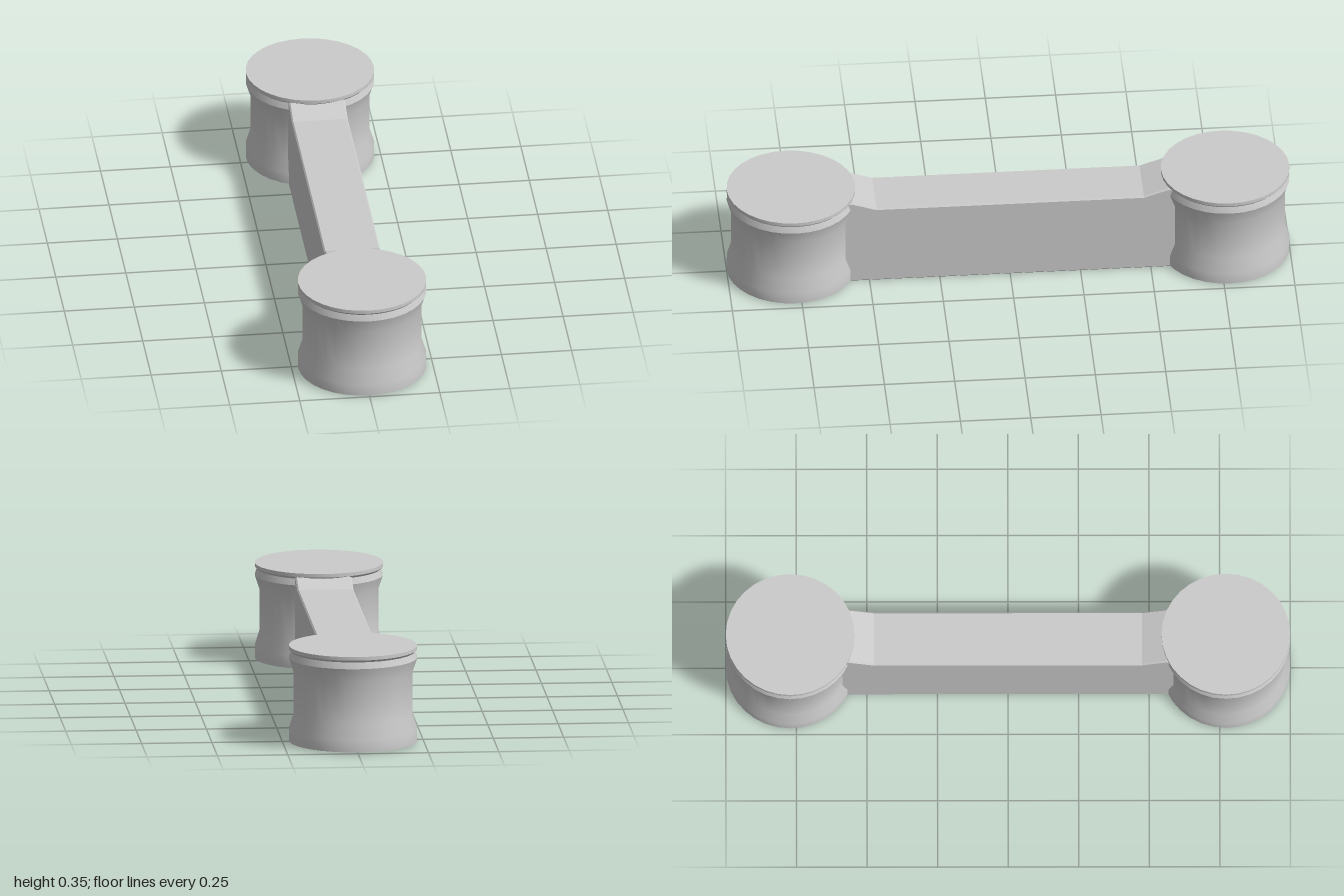
import * as THREE from 'three';
import { toCreasedNormals } from 'three/addons/utils/BufferGeometryUtils.js';

const v2 = (p) => new THREE.Vector2(p[0], p[1]);

export function createModel() {
  const model = new THREE.Group();
  const material = new THREE.MeshStandardMaterial({ color: 0xcccccc, side: THREE.DoubleSide });

  // Waisted round post: hollow, open at the bottom, closed by a flat lid with a lip
  const postProfile = [
    [0.228, 0.005], [0.228, 0.048], [0.212, 0.1], [0.212, 0.256],
    [0.228, 0.305], [0.22, 0.328], [0.228, 0.336], [0.228, 0.349], [0, 0.349],
  ].map(v2);
  const postGeometry = toCreasedNormals(new THREE.LatheGeometry(postProfile, 32), 0.5);
  for (const [name, z] of [['frontPost', 0.772], ['backPost', -0.772]]) {
    const post = new THREE.Mesh(postGeometry, material);
    post.name = name;
    post.position.z = z;
    model.add(post);
  }

  // Bar between the posts: side outline with ramped ends, extruded across x with a fine bevel
  const bevel = 0.005;
  const half = [[0.62, 0], [0.62, 0.335], [0.56, 0.335], [0.475, 0.307]];
  const mirrored = half.map(([x, y]) => [-x, y]).reverse();
  const outline = new THREE.Shape([...half, ...mirrored].map(v2));
  const depth = 0.2 - 2 * bevel;
  const barGeometry = new THREE.ExtrudeGeometry(outline, {
    depth, bevelEnabled: true, bevelThickness: bevel, bevelSize: bevel, bevelOffset: -bevel, bevelSegments: 1,
  });
  barGeometry.translate(0, 0, -depth / 2).rotateY(Math.PI / 2);
  const bar = new THREE.Mesh(barGeometry, material);
  bar.name = 'bar';
  model.add(bar);

  return model;
}
